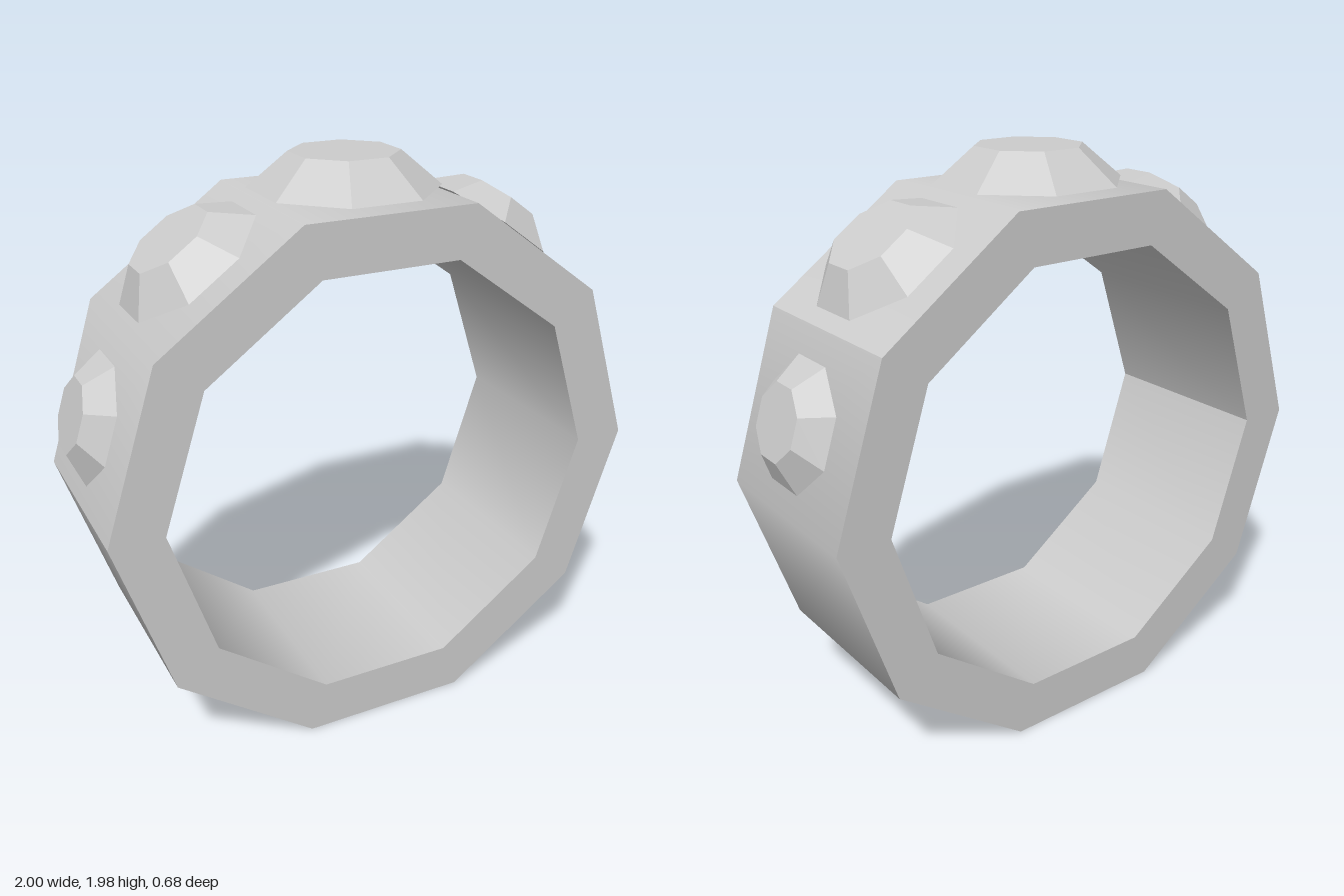
import * as THREE from 'three';

const SIDES = 10, OUTER = 0.97, INNER = 0.785, HALF_DEPTH = 0.34, CENTER_Y = 0.925;
const STEP = (Math.PI * 2) / SIDES;
const material = new THREE.MeshStandardMaterial({ color: 0xcccccc });
const gemMaterial = new THREE.MeshStandardMaterial({ color: 0xcccccc, flatShading: true });

function addMesh(parent, name, geometry, mat = material) {
  const mesh = new THREE.Mesh(geometry, mat);
  mesh.name = name;
  parent.add(mesh);
  return mesh;
}

// Ten-sided wall: smooth across its corners except at the listed sharp corners.
// facing is 1 for an outward wall and -1 for an inward wall.
function wallGeometry(radius, facing, sharpCorners) {
  const positions = [], normals = [], indices = [];
  for (let i = 0; i < SIDES; i++) {
    for (const corner of [i, i + 1]) {
      const angle = corner * STEP;
      const sharp = sharpCorners.includes(corner % SIDES);
      const normalAngle = sharp ? (i + 0.5) * STEP : angle;
      for (const z of [HALF_DEPTH, -HALF_DEPTH]) {
        positions.push(radius * Math.cos(angle), radius * Math.sin(angle), z);
        normals.push(facing * Math.cos(normalAngle), facing * Math.sin(normalAngle), 0);
      }
    }
    const a = i * 4;
    if (facing > 0) indices.push(a, a + 1, a + 3, a, a + 3, a + 2);
    else indices.push(a, a + 3, a + 1, a, a + 2, a + 3);
  }
  const geometry = new THREE.BufferGeometry();
  geometry.setAttribute('position', new THREE.Float32BufferAttribute(positions, 3));
  geometry.setAttribute('normal', new THREE.Float32BufferAttribute(normals, 3));
  geometry.setIndex(indices);
  return geometry;
}

function decagon(radius) {
  return Array.from({ length: SIDES }, (_, i) =>
    new THREE.Vector2(radius * Math.cos(i * STEP), radius * Math.sin(i * STEP)));
}

// Octagonal cut stone; sizes are half widths across the flats
function gemGeometry(baseHalf, tableHalf, height) {
  const toCorner = 1 / Math.cos(Math.PI / 8);
  return new THREE.CylinderGeometry(tableHalf * toCorner, baseHalf * toCorner, height, 8, 1, false, Math.PI / 8)
    .translate(0, height / 2, 0);
}

export function createModel() {
  const model = new THREE.Group();
  model.name = 'gemRing';
  const ring = new THREE.Group();
  ring.position.y = CENTER_Y;
  model.add(ring);

  // Band
  const band = new THREE.Group();
  band.name = 'band';
  ring.add(band);
  addMesh(band, 'bandOuterWall', wallGeometry(OUTER, 1, [1, 5]));
  addMesh(band, 'bandInnerWall', wallGeometry(INNER, -1, [3, 5]));
  const rim = new THREE.Shape(decagon(OUTER));
  rim.holes.push(new THREE.Path(decagon(INNER)));
  const rimGeometry = new THREE.ShapeGeometry(rim);
  addMesh(band, 'frontRim', rimGeometry).position.z = HALF_DEPTH;
  const backRim = addMesh(band, 'backRim', rimGeometry);
  backRim.position.z = -HALF_DEPTH;
  backRim.rotation.y = Math.PI;

  // Gems, one over each of the five upper facets, growing towards the top
  const gems = [
    { name: 'topGem', facets: [0], size: [0.297, 0.17, 0.115] },
    { name: 'shoulderGem', facets: [-1, 1], size: [0.245, 0.14, 0.096] },
    { name: 'sideGem', facets: [-2, 2], size: [0.203, 0.117, 0.075] },
  ];
  for (const { name, facets, size } of gems) {
    const geometry = gemGeometry(...size);
    for (const facet of facets) {
      const gem = addMesh(ring, name, geometry, gemMaterial);
      const tilt = facet * STEP;
      gem.position.set(-Math.sin(tilt) * 0.94, Math.cos(tilt) * 0.94, 0);
      gem.rotation.z = tilt;
    }
  }
  return model;
}
